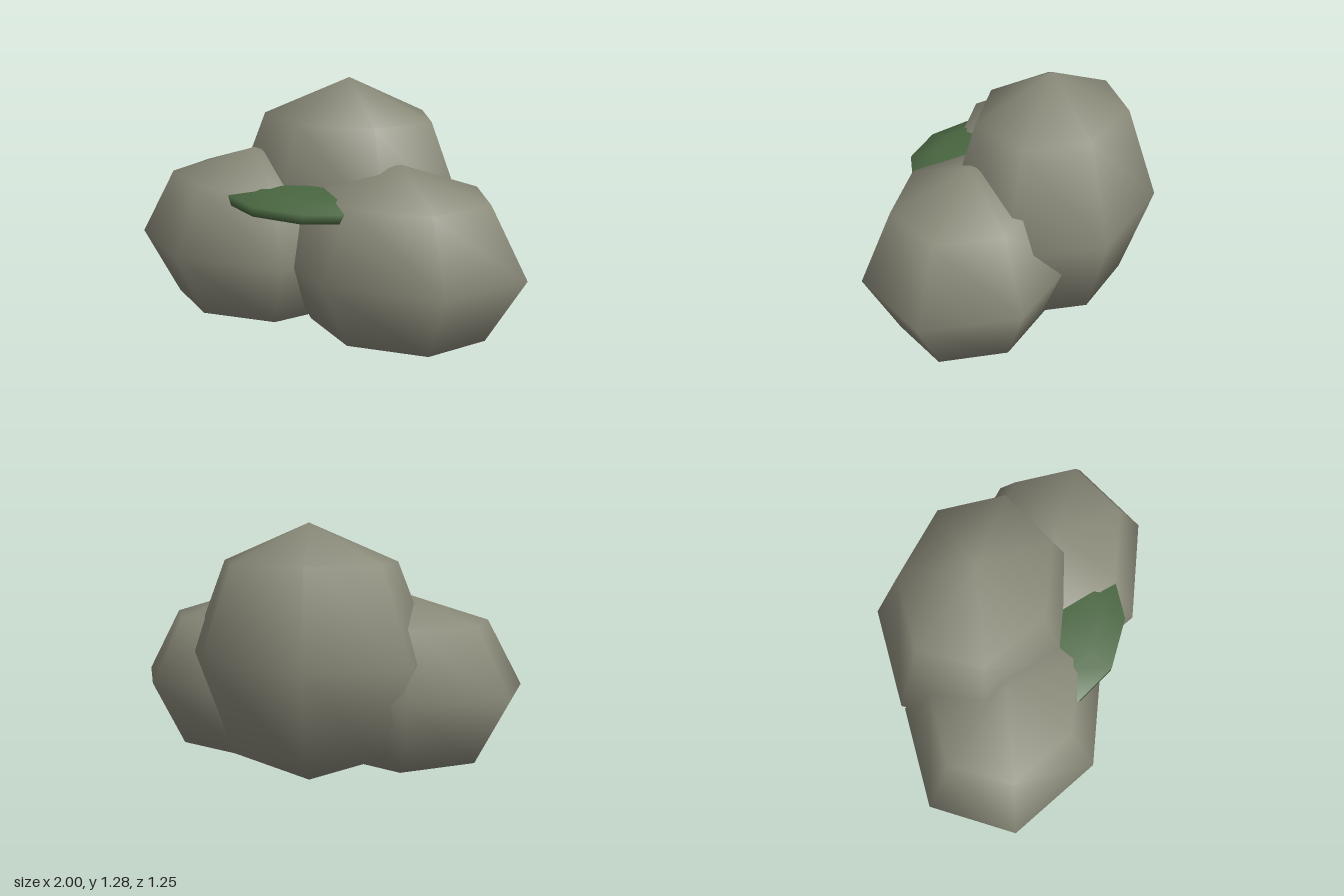
import * as THREE from 'three';

export function createModel() {
  const group = new THREE.Group();
  group.name = 'mossyRocks';

  const stone = new THREE.MeshStandardMaterial({ color: 0x8a8a7a });
  stone.name = 'stoneGrey';
  const moss = new THREE.MeshStandardMaterial({ color: 0x4a6741 });
  moss.name = 'mossGreen';

  // Coarse smooth-shaded balls; the rock starts at PI so a corner points to +x
  const rockShape = new THREE.SphereGeometry(1, 7, 4, Math.PI);
  const mossShape = new THREE.SphereGeometry(1, 10, 5);

  function blob(name, geometry, material, position, radii) {
    const mesh = new THREE.Mesh(geometry, material);
    mesh.name = name;
    mesh.position.set(...position);
    mesh.scale.set(...radii);
    group.add(mesh);
  }

  // Two low boulders in front, one tall boulder behind
  blob('leftRock', rockShape, stone, [0.372, 0.467, 0.13], [0.627, 0.464, 0.504]);
  blob('rightRock', rockShape, stone, [-0.437, 0.467, 0.13], [0.627, 0.464, 0.504]);
  blob('backRock', rockShape, stone, [-0.033, 0.64, -0.13], [0.631, 0.638, 0.51]);

  // Flat cushion of moss wedged between the boulders
  blob('mossPatch', mossShape, moss, [-0.03, 0.746, 0.278], [0.442, 0.071, 0.328]);

  return group;
}
